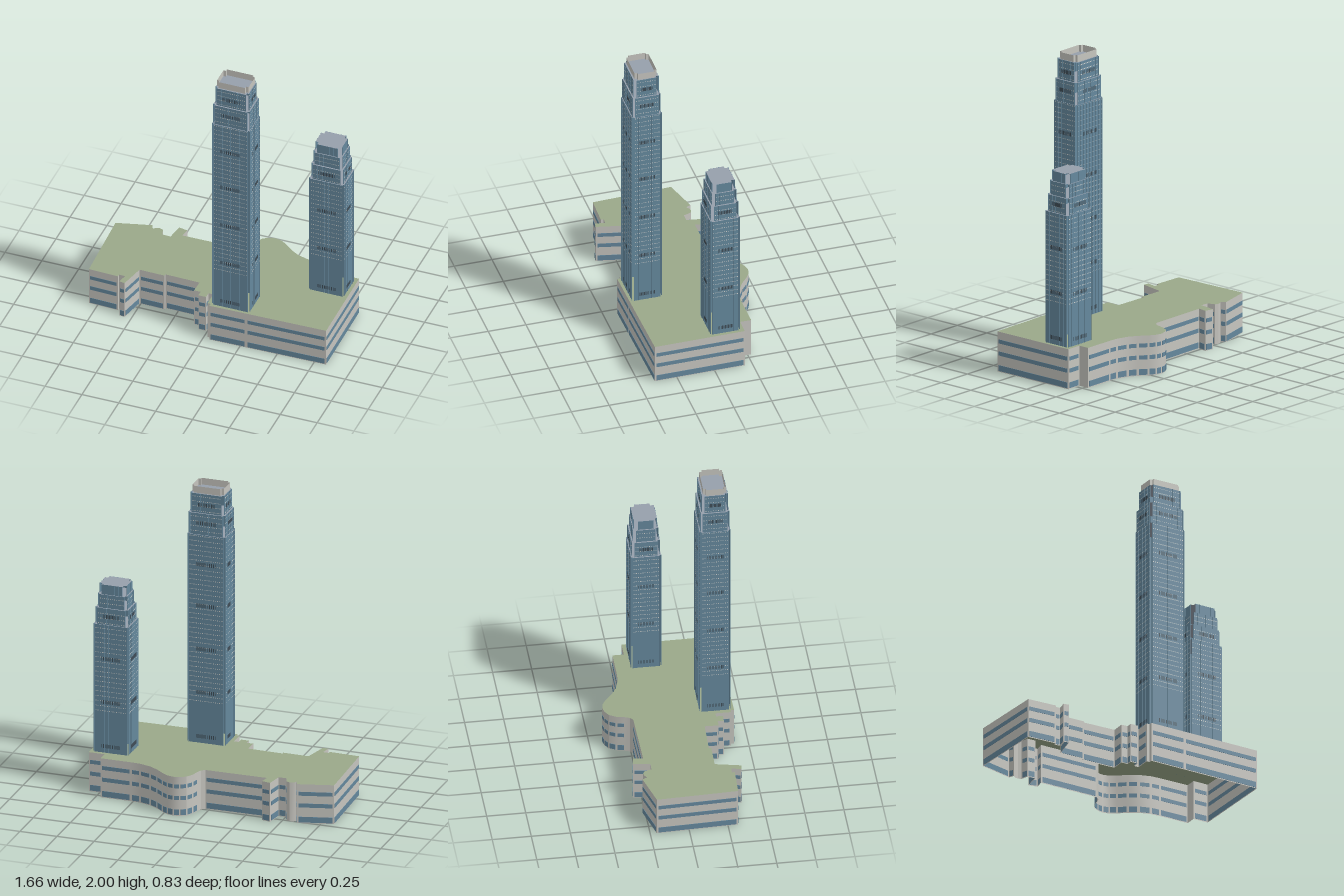
import * as THREE from 'three';
import { mergeGeometries, toCreasedNormals } from 'three/addons/utils/BufferGeometryUtils.js';

function material(name, color) {
  const m = new THREE.MeshStandardMaterial({ color, side: THREE.DoubleSide });
  m.name = name;
  return m;
}

const DECK = 0.265; // top of the podium

// Podium plan as [x, z], starting at the back left corner of the plan
const PLAN = [
  [-0.83, -0.208], [-0.603, -0.268], [-0.587, -0.235], [-0.568, -0.25], [-0.545, -0.255],
  [-0.523, -0.246], [-0.507, -0.197], [-0.452, -0.195], [-0.435, -0.306], [-0.375, -0.295],
  [-0.387, -0.233], [0.027, -0.237], [0.05, -0.255], [0.062, -0.286], [0.075, -0.34],
  [0.1, -0.384], [0.137, -0.406], [0.177, -0.415], [0.22, -0.406], [0.262, -0.38],
  [0.315, -0.335], [0.373, -0.3], [0.452, -0.277], [0.515, -0.273], [0.72, -0.273],
  [0.72, -0.2], [0.825, -0.2], [0.83, 0.397], [0.29, 0.406], [0.043, 0.41],
  [0.043, 0.388], [0.022, 0.388], [0.022, 0.287], [-0.01, 0.287], [-0.01, 0.33],
  [-0.062, 0.33], [-0.062, 0.29], [-0.106, 0.29], [-0.104, 0.2], [-0.337, 0.195],
  [-0.337, 0.21], [-0.508, 0.207], [-0.545, 0.375], [-0.582, 0.37], [-0.57, 0.305],
  [-0.61, 0.303], [-0.61, 0.322], [-0.81, 0.315],
];

// Open ring of upright walls along a closed plan
function wallRing(plan, y0, y1) {
  const pos = [];
  plan.forEach(([px, pz], i) => {
    const [qx, qz] = plan[(i + 1) % plan.length];
    pos.push(qx, y0, qz, px, y0, pz, px, y1, pz);
    pos.push(qx, y0, qz, px, y1, pz, qx, y1, qz);
  });
  const g = new THREE.BufferGeometry();
  g.setAttribute('position', new THREE.Float32BufferAttribute(pos, 3));
  return toCreasedNormals(g, 0.5);
}

// Flat horizontal plate filling a plan
function plate(plan, y) {
  const shape = new THREE.Shape(plan.map(([x, z]) => new THREE.Vector2(x, -z)));
  return new THREE.ShapeGeometry(shape).rotateX(-Math.PI / 2).translate(0, y, 0);
}

// Rectangle with square notches at its corners: o = outer half sizes, c = half widths of the faces
function notched([ox, oz], [cx, cz]) {
  return [
    [-cx, -oz], [cx, -oz], [cx, -cz], [ox, -cz], [ox, cz], [cx, cz],
    [cx, oz], [-cx, oz], [-cx, cz], [-ox, cz], [-ox, -cz], [-cx, -cz],
  ];
}

function add(group, name, geometry, mat) {
  const mesh = new THREE.Mesh(geometry, mat);
  mesh.name = name;
  group.add(mesh);
}

const rect = (w, h, x, y, z) => new THREE.PlaneGeometry(w, h).translate(x, y, z);

function buildPodium(mats) {
  const podium = new THREE.Group();
  podium.name = 'podium';
  add(podium, 'podiumWalls', wallRing(PLAN, 0, DECK), mats.wall);
  add(podium, 'podiumRoof', plate(PLAN, DECK), mats.green);

  // Three bands of glazing on every wall long enough to hold them
  const bands = [];
  PLAN.forEach(([px, pz], i) => {
    const [qx, qz] = PLAN[(i + 1) % PLAN.length];
    const dx = qx - px, dz = qz - pz, len = Math.hypot(dx, dz);
    if (len < 0.035 || (px === 0.72 && qx === 0.72)) return;
    for (const [y0, y1] of [[0.006, 0.044], [0.108, 0.135], [0.188, 0.214]]) {
      bands.push(new THREE.BoxGeometry(len - Math.min(0.02, len * 0.25), y1 - y0, 0.003)
        .rotateY(Math.atan2(-dz, dx))
        .translate((px + qx) / 2 + (dz / len) * 0.001, (y0 + y1) / 2, (pz + qz) / 2 - (dx / len) * 0.001));
    }
  });
  add(podium, 'podiumWindowBands', mergeGeometries(bands), mats.glass);
  return podium;
}

// Each tier: [bottom, top, outer half sizes, half widths of the faces]
function buildTower(name, tiers, louverRows, dashTop, mats) {
  const tower = new THREE.Group();
  tower.name = name;
  const glass = [], dashes = [], louvers = [], roofs = [];
  for (const [y0, y1, outer, core] of tiers) {
    roofs.push(plate(notched(outer, core), y1));
    for (let side = 0; side < 4; side++) {
      const half = core[side % 2], dist = outer[(side + 1) % 2];
      const put = (list, g) => list.push(g.rotateY(side * Math.PI / 2));
      // Curtain wall, open at the corner notches
      put(glass, rect(half * 2, y1 - y0, 0, (y0 + y1) / 2, dist));
      // Shallow vertical ribs
      const bays = Math.round(half / 0.015);
      for (let i = 0; i <= bays; i++) {
        const x = (i / bays * 2 - 1) * (half - 0.002);
        put(glass, new THREE.BoxGeometry(0.004, y1 - y0, 0.004).translate(x, (y0 + y1) / 2, dist));
      }
      // Rows of pale floor dashes
      for (let y = 0.55; y < dashTop; y += 0.033) {
        if (y < y0 + 0.006 || y > y1 - 0.006) continue;
        for (let i = 0; i < bays * 2; i++) {
          const x = ((i + 0.5) / (bays * 2) * 2 - 1) * (half - 0.002);
          put(dashes, rect(0.007, 0.005, x, y, dist + 0.001));
        }
      }
      // Plant floor louvers
      for (const y of louverRows) {
        if (y < y0 || y > y1) continue;
        for (let x = -half * 0.55; x <= half * 0.551; x += half * 0.11) {
          put(louvers, rect(0.0055, 0.026, x, y, dist + 0.0025));
        }
      }
    }
  }
  add(tower, 'curtainWalls', mergeGeometries(glass.map((g) => g.toNonIndexed())), mats.glass);
  add(tower, 'floorDashes', mergeGeometries(dashes), mats.pale);
  add(tower, 'louvers', mergeGeometries(louvers), mats.dark);
  add(tower, 'tierRoofs', mergeGeometries(roofs), mats.roof);
  return tower;
}

export function createModel() {
  const mats = {
    wall: material('stone grey', 0xc6c5bf),
    green: material('roof garden green', 0x9aa889),
    glass: material('glass blue', 0x65889d),
    roof: material('roof grey', 0x969fab),
    pale: material('pale grey', 0xd2d5d2),
    dark: material('louver slate', 0x3f4d57),
  };
  const model = new THREE.Group();
  model.name = 'twinTowerComplex';
  model.add(buildPodium(mats));

  const tall = buildTower('tallTower', [
    [DECK, 1.68, [0.127, 0.098], [0.117, 0.088]],
    [1.68, 1.825, [0.123, 0.092], [0.111, 0.08]],
    [1.825, 1.955, [0.113, 0.083], [0.1, 0.066]],
  ], [0.31, 0.61, 0.905, 1.2, 1.48, 1.76, 1.88], 1.945, mats);
  // Hollow parapet crown
  add(tall, 'crown', wallRing(notched([0.107, 0.073], [0.09, 0.056]), 1.955, 2), mats.wall);
  tall.position.set(0.178, 0, 0.29);

  const short = buildTower('shortTower', [
    [DECK, 1.135, [0.117, 0.096], [0.11, 0.087]],
    [1.135, 1.245, [0.108, 0.09], [0.095, 0.074]],
    [1.245, 1.335, [0.098, 0.081], [0.085, 0.062]],
    [1.335, 1.4, [0.09, 0.075], [0.07, 0.05]],
  ], [0.31, 0.61, 0.905, 1.19], 1.33, mats);
  short.position.set(0.686, 0, -0.078);

  model.add(tall, short);
  return model;
}
